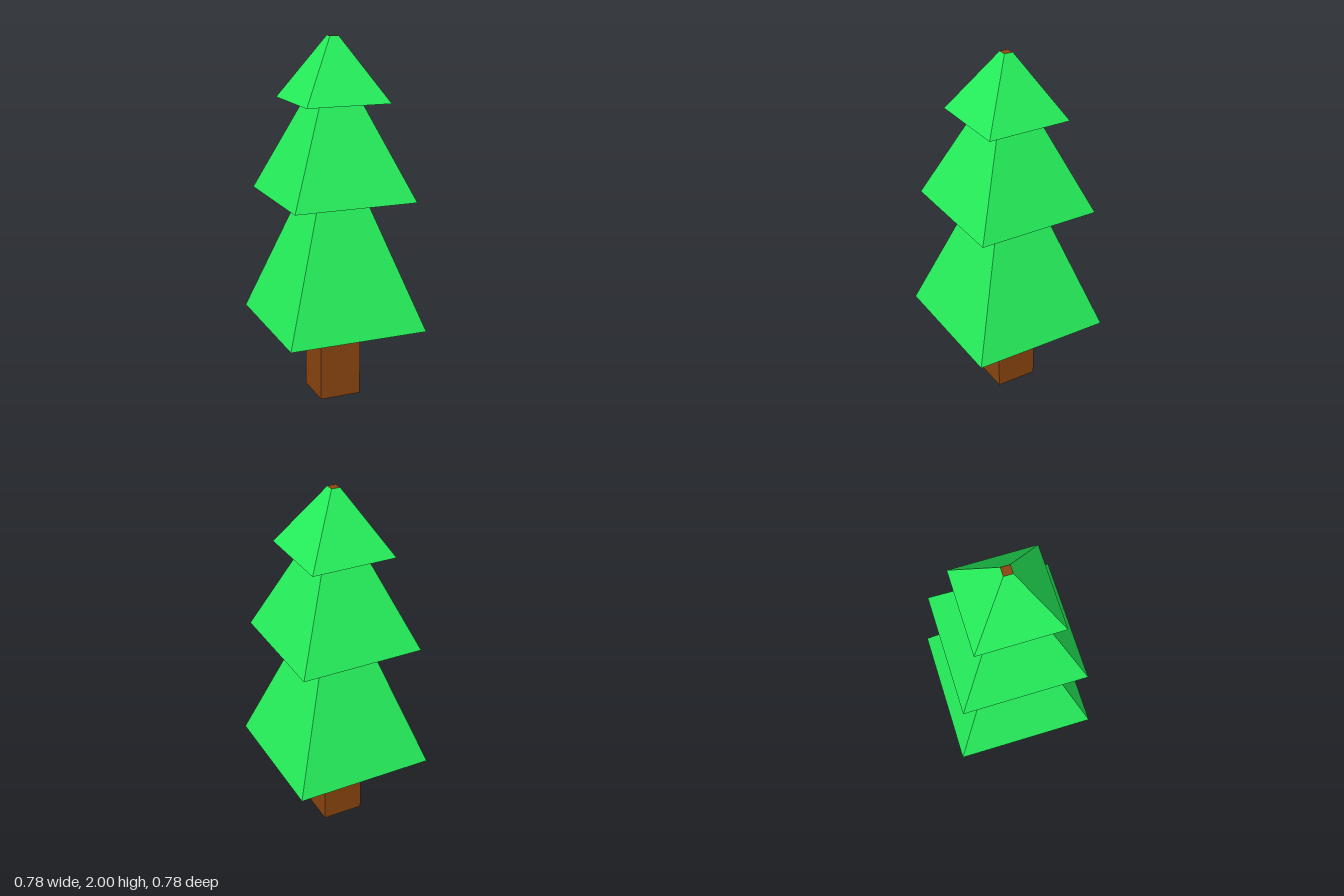
import * as THREE from 'three';

const green = new THREE.MeshStandardMaterial({ color: 0x26f25c, flatShading: true });
const brown = new THREE.MeshStandardMaterial({ color: 0x8b4510, flatShading: true });

// Square frustum given by its half widths at the bottom and top heights
function squareFrustum(name, y0, y1, half0, half1, material) {
  const geometry = new THREE.CylinderGeometry(half1 * Math.SQRT2, half0 * Math.SQRT2, y1 - y0, 4)
    .rotateY(Math.PI / 4)
    .translate(0, (y0 + y1) / 2, 0)
    .toNonIndexed();
  geometry.computeVertexNormals();
  const mesh = new THREE.Mesh(geometry, material);
  mesh.name = name;
  return mesh;
}

export function createModel() {
  const tree = new THREE.Group();
  tree.name = 'pineTree';

  // Square trunk
  tree.add(squareFrustum('trunk', 0, 0.43, 0.118, 0.118, brown));

  // Foliage tiers, stacked from large to small; the top one ends in a brown tip face
  tree.add(squareFrustum('lowerFoliage', 0.43, 1.145, 0.39, 0.135, green));
  tree.add(squareFrustum('middleFoliage', 1.145, 1.66, 0.343, 0.118, green));
  tree.add(squareFrustum('upperFoliage', 1.66, 2, 0.236, 0.024, [green, brown, green]));

  return tree;
}
